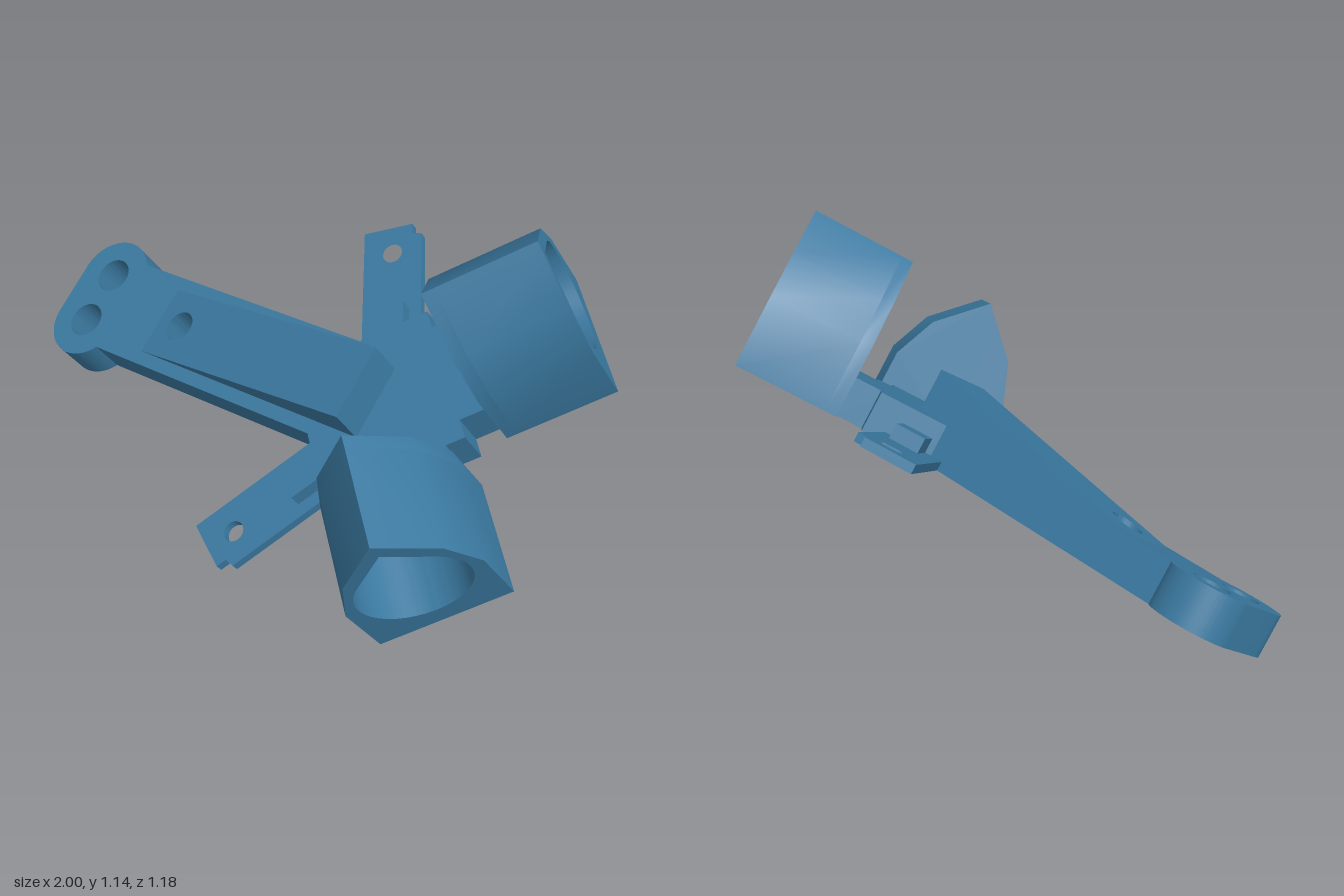
import * as THREE from 'three';
import { toCreasedNormals } from 'three/addons/utils/BufferGeometryUtils.js';

const blue = new THREE.MeshStandardMaterial({ color: 0x3a789f });
blue.name = 'steel blue';

function part(geometry, name, parent) {
  const mesh = new THREE.Mesh(toCreasedNormals(geometry, 0.4), blue);
  mesh.name = name;
  parent.add(mesh);
  return mesh;
}

function polygon(points) {
  return new THREE.Shape(points.map(([x, y]) => new THREE.Vector2(x, y)));
}

function circle(x, y, r) {
  return new THREE.Path().absarc(x, y, r, 0, Math.PI * 2, true);
}

// Plan outline raised from y0 to y1
function slab(shape, y0, y1) {
  return new THREE.ExtrudeGeometry(shape, { depth: y1 - y0, bevelEnabled: false, curveSegments: 32 })
    .rotateX(-Math.PI / 2).translate(0, y0, 0);
}

// Upright profile swept outwards along x from r0 to r1
function sweep(shape, r0, r1) {
  return new THREE.ExtrudeGeometry(shape, { depth: r1 - r0, bevelEnabled: false, curveSegments: 48 })
    .rotateY(Math.PI / 2).translate(r0, 0, 0);
}

const FLOOR = 0.03, DECK = 0.135, RIDGE = 0.277;

// Long arm with a rounded two-hole end
function armOutline() {
  const w = 0.165, r = 0.13, c = 0.09, a = Math.asin((w - c) / r);
  const s = new THREE.Shape();
  s.moveTo(0.05, -w);
  s.lineTo(0.05, w);
  s.absarc(-1.2, c, r, a, Math.PI, false);
  s.absarc(-1.2, -c, r, Math.PI, Math.PI * 2 - a, false);
  s.closePath();
  s.holes.push(circle(-1.2, c, 0.06), circle(-1.2, -c, 0.06));
  return s;
}

function addArm(parent) {
  const arm = new THREE.Group();
  arm.name = 'mountingArm';
  parent.add(arm);
  part(slab(armOutline(), 0, FLOOR), 'armFloor', arm);
  const upper = armOutline();
  upper.holes.push(circle(-0.81, 0, 0.053));
  part(slab(upper, FLOOR, DECK), 'armBody', arm);

  // Ramp rising towards the hub, pierced by the blind hole
  const rampShape = polygon([[-0.91, -0.12], [0, -0.12], [0, 0.12], [-0.91, 0.12]]);
  rampShape.holes.push(circle(-0.81, 0, 0.053));
  const ramp = slab(rampShape, DECK, RIDGE);
  const p = ramp.attributes.position;
  for (let i = 0; i < p.count; i++) {
    if (p.getY(i) > DECK + 0.01) p.setY(i, DECK + 0.0005 + (RIDGE - DECK) * (p.getX(i) + 0.91) / 0.91);
  }
  part(ramp, 'armRamp', arm);
}

// Tube socket with a teardrop bore, closed at its inner end
function addSocket(parent, angle, name) {
  const socket = new THREE.Group();
  socket.name = name;
  socket.rotation.y = angle;
  parent.add(socket);
  const profile = () => polygon([[-0.208, 0], [0.208, 0], [0.208, 0.24], [0.147, 0.391],
    [0, 0.539], [-0.147, 0.391], [-0.208, 0.24]]);
  const shell = profile();
  const bore = new THREE.Path();
  bore.absarc(0, 0.24, 0.168, Math.PI * 0.75, Math.PI * 2.25, false);
  bore.lineTo(0, 0.478);
  bore.closePath();
  shell.holes.push(bore);
  part(sweep(shell, 0.36, 0.67), 'socketShell', socket);
  part(sweep(profile(), 0.32, 0.36), 'socketBackWall', socket);
  part(new THREE.BoxGeometry(0.14, DECK, 0.34).translate(0.26, DECK / 2, 0), 'socketNeck', socket);
}

// Thin tab with a hole, a notched corner and a raised stop
function addTab(parent, side, name) {
  const tab = new THREE.Group();
  tab.name = name;
  tab.rotation.y = side * Math.PI * 2 / 3;
  parent.add(tab);
  const outline = polygon([[0, 0.1], [0.69, 0.1], [0.69, -0.068], [0.655, -0.068], [0.645, -0.1], [0, -0.1]]
    .map(([x, y]) => [x, y * side]));
  outline.holes.push(circle(0.592, 0, 0.033));
  part(slab(outline, 0, FLOOR), 'tabPlate', tab);
  part(new THREE.BoxGeometry(0.13, 0.08, 0.1).translate(0.31, 0.04, side * 0.01), 'tabStop', tab);
}

export function createModel() {
  const model = new THREE.Group();
  model.name = 'socketBracket';

  // The flat underside leans back by 35 degrees
  const tilt = new THREE.Group();
  tilt.name = 'tiltedBase';
  tilt.position.set(0, 0.248, 0.174);
  tilt.rotation.x = THREE.MathUtils.degToRad(35);
  model.add(tilt);

  const body = new THREE.Group();
  body.name = 'body';
  body.position.set(0.33, 0, -0.265);
  body.rotation.y = THREE.MathUtils.degToRad(10.2);
  tilt.add(body);

  // Square hub set diagonally to the arm
  const hub = part(new THREE.BoxGeometry(0.462, DECK, 0.462).translate(0, DECK / 2, 0), 'hub', body);
  hub.rotation.y = Math.PI / 4;

  addArm(body);
  addSocket(body, Math.PI / 4, 'backSocket');
  addSocket(body, -Math.PI / 4, 'frontSocket');
  addTab(body, 1, 'backTab');
  addTab(body, -1, 'frontTab');
  return model;
}
